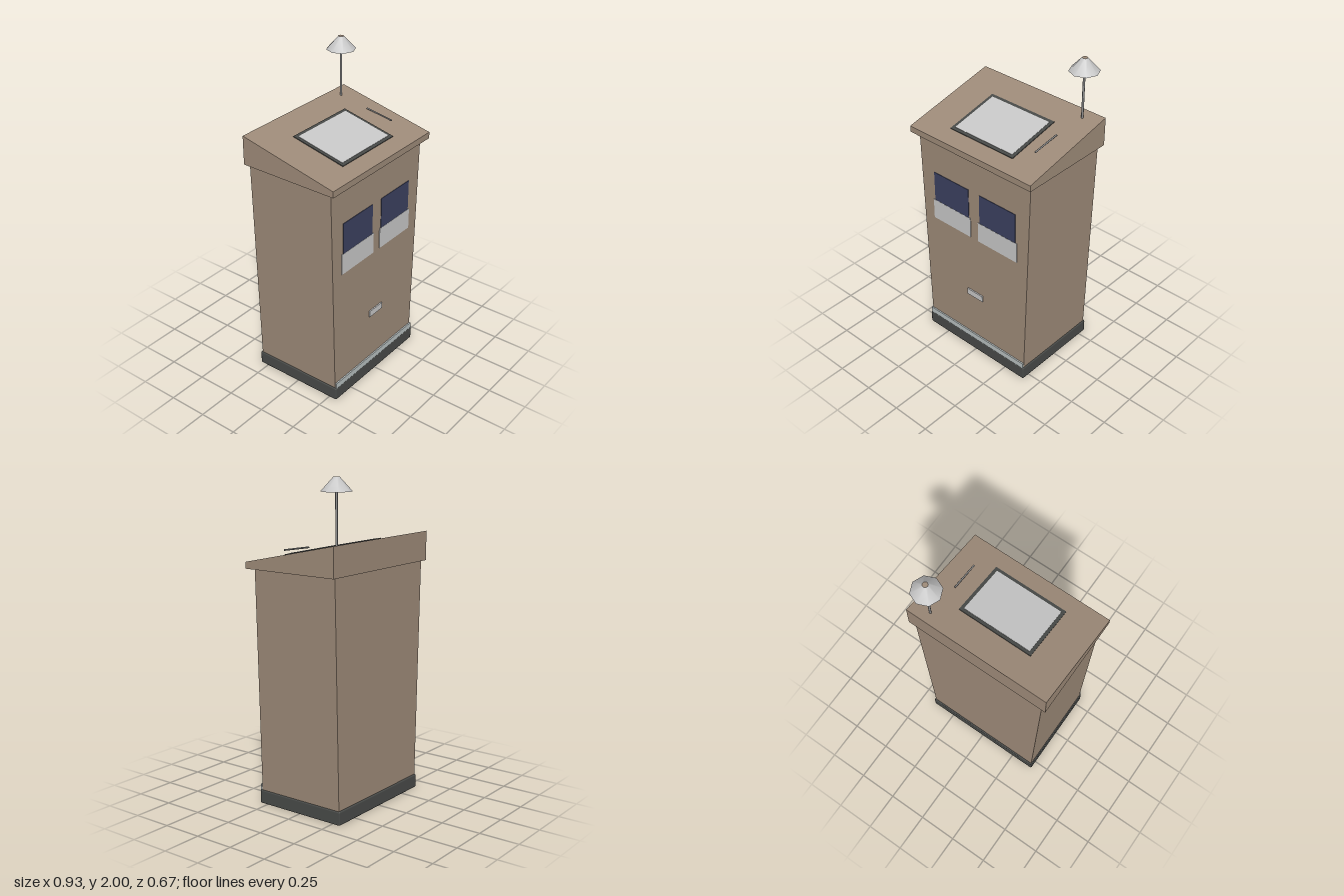
import * as THREE from 'three';
import { RoundedBoxGeometry } from 'three/addons/geometries/RoundedBoxGeometry.js';

const material = (name, color, side = THREE.FrontSide) => {
  const m = new THREE.MeshStandardMaterial({ color, side });
  m.name = name;
  return m;
};

export function createModel() {
  const brown = material('brown panel', 0x9e8b79);
  const silver = material('silver', 0xc8c8c8, THREE.DoubleSide);
  const steel = material('pale steel', 0xb8c0c0);
  const navy = material('navy display', 0x3b4160);
  const dark = material('dark grey', 0x484a48);
  const grey = material('mid grey', 0x8c8c8c);

  const model = new THREE.Group();
  model.name = 'lectern';
  const add = (name, geometry, mat, x = 0, y = 0, z = 0, parent = model) => {
    const mesh = new THREE.Mesh(geometry, mat);
    mesh.name = name;
    mesh.position.set(x, y, z);
    parent.add(mesh);
    return mesh;
  };
  const box = (w, h, d) => new THREE.BoxGeometry(w, h, d);
  // Extrudes a closed outline, centred along the extrusion axis
  const prism = (points, depth) => {
    const shape = new THREE.Shape(points.map(([x, y]) => new THREE.Vector2(x, y)));
    return new THREE.ExtrudeGeometry(shape, { depth, bevelEnabled: false }).translate(0, 0, -depth / 2);
  };

  // Plinth and tapered cabinet
  add('plinth', new RoundedBoxGeometry(0.81, 0.085, 0.61, 1, 0.008), dark, 0, 0.0425, 0);
  add('cabinet', prism([[-0.397, 0.08], [0.397, 0.08], [0.433, 1.456], [-0.433, 1.456]], 0.586),
    brown, 0, 0, -0.002);

  // Sloping desk top, drawn as a side outline
  const backZ = -0.31, frontZ = 0.333, backY = 1.635, frontY = 1.495;
  const slope = (backY - frontY) / (frontZ - backZ);
  const tilt = Math.atan(slope);
  const deskY = (z) => frontY + (frontZ - z) * slope;
  add('deskTop', prism([[backZ, 1.455], [frontZ, 1.455], [frontZ, frontY], [backZ, backY]], 0.93)
    .rotateY(-Math.PI / 2), brown);

  // Framed screen lying on the slope
  const screen = new THREE.Group();
  screen.name = 'screen';
  screen.position.set(0, deskY(0.0475) + 0.002, 0.0475);
  screen.rotation.x = tilt;
  model.add(screen);
  add('screenFrame', box(0.48, 0.006, 0.364), dark, 0, 0, 0, screen);
  add('screenPanel', box(0.44, 0.006, 0.323), silver, 0, 0.002, 0, screen);

  // Slim pen held just above the slope
  add('pen', new THREE.CylinderGeometry(0.005, 0.005, 0.184, 8).rotateX(Math.PI / 2), grey, 0.336, 1.58, 0.056)
    .rotation.x = 0.165;

  // Pair of displays with pale panels beneath
  for (const side of [-1, 1]) {
    add('display', box(0.28, 0.2, 0.006), navy, side * 0.183, 1.115, 0.291);
    add('lowerPanel', box(0.305, 0.136, 0.006), silver, side * 0.183, 0.948, 0.292);
  }
  // Small front plate and kick strip
  add('smallPlate', box(0.125, 0.042, 0.008), silver, 0, 0.449, 0.298);
  add('kickStrip', box(0.795, 0.038, 0.009), steel, 0, 0.103, 0.299);

  // Reading lamp
  const lamp = new THREE.Group();
  lamp.name = 'lamp';
  lamp.position.set(0.35, 0, -0.243);
  model.add(lamp);
  add('lampPole', new THREE.CylinderGeometry(0.007, 0.007, 0.33, 8), grey, 0, 1.775, 0, lamp);
  add('lampShade', new THREE.CylinderGeometry(0.017, 0.09, 0.08, 8, 1, true), silver, 0, 1.96, 0, lamp);
  add('shadeCap', new THREE.CircleGeometry(0.017, 8).rotateX(-Math.PI / 2), brown, 0, 2, 0, lamp);
  add('shadeUnderside', new THREE.CircleGeometry(0.084, 8).rotateX(Math.PI / 2), brown, 0, 1.925, 0, lamp);

  return model;
}
